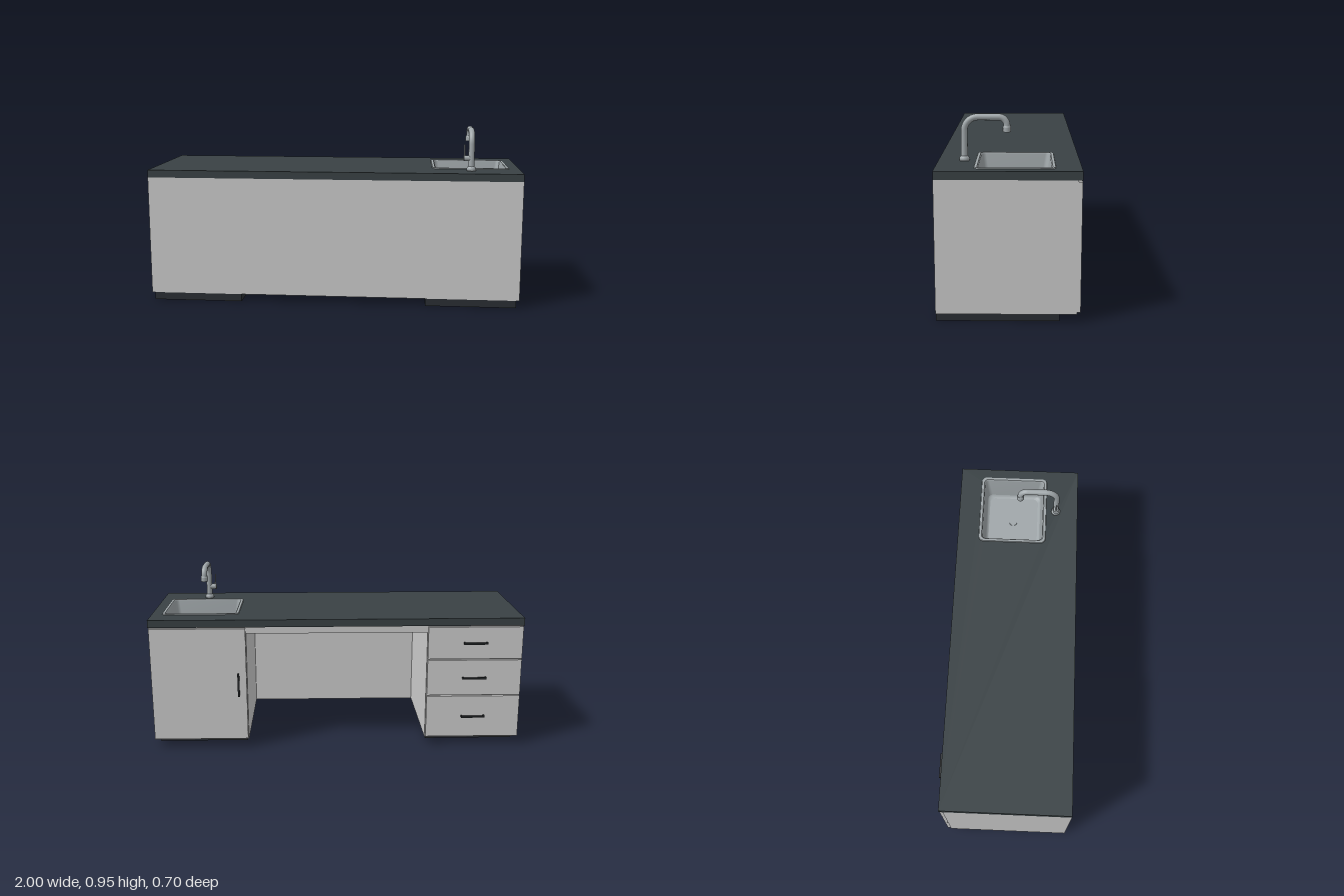
import * as THREE from 'three';

const mat = (color, side = THREE.FrontSide) => new THREE.MeshStandardMaterial({ color, side });

export function createModel() {
  const model = new THREE.Group();
  const grey = mat(0xcccccc);
  const stone = mat(0x394144);
  const plinthDark = mat(0x2a2e33);
  const black = mat(0x25282a);
  const steel = mat(0xa0a7aa, THREE.DoubleSide);

  const add = (name, geometry, material, parent = model) => {
    const mesh = new THREE.Mesh(geometry, material);
    mesh.name = name;
    parent.add(mesh);
    return mesh;
  };
  // Box given by its extents along each axis
  const box = (name, [x0, x1], [y0, y1], [z0, z1], material, parent) => {
    const mesh = add(name, new THREE.BoxGeometry(Math.abs(x1 - x0), y1 - y0, z1 - z0), material, parent);
    mesh.position.set((x0 + x1) / 2, (y0 + y1) / 2, (z0 + z1) / 2);
    return mesh;
  };
  const rod = (name, r0, r1, h, x, y, z, material, parent) => {
    const mesh = add(name, new THREE.CylinderGeometry(r0, r1, h, 24), material, parent);
    mesh.position.set(x, y, z);
    return mesh;
  };

  // Points round a rounded rectangle in the x-z plane
  const sinkX = 0.7375, sinkZ = -0.02;
  const ring = (w, d, r, n = 6) => {
    const pts = [];
    for (let c = 0; c < 4; c++) {
      const cx = (w / 2 - r) * (c === 0 || c === 3 ? 1 : -1);
      const cz = (d / 2 - r) * (c < 2 ? 1 : -1);
      for (let i = 0; i <= n; i++) {
        const a = (c + i / n) * Math.PI / 2;
        pts.push(new THREE.Vector2(sinkX + cx + r * Math.cos(a), sinkZ + cz + r * Math.sin(a)));
      }
    }
    return pts;
  };

  // Worktop with a cut-out for the sink (shape y becomes z)
  const top = new THREE.Shape([[-1, -0.33], [1, -0.33], [1, 0.35], [-1, 0.35]].map(p => new THREE.Vector2(...p)));
  top.holes.push(new THREE.Path(ring(0.395, 0.36, 0.022)));
  const worktop = add('worktop', new THREE.ExtrudeGeometry(top, { depth: 0.04, bevelEnabled: false }), stone);
  worktop.rotation.x = Math.PI / 2;
  worktop.position.y = 0.72;

  // Long panel and the rail over the knee space
  box('longPanel', [-1, 1], [0.04, 0.68], [0.332, 0.35], grey);
  box('kneeRail', [-0.485, 0.485], [0.64, 0.68], [-0.31, -0.292], grey);

  // Two cabinets, mirrored about x = 0
  for (const s of [-1, 1]) {
    const cabinet = new THREE.Group();
    cabinet.name = s < 0 ? 'drawerCabinet' : 'doorCabinet';
    model.add(cabinet);
    box('outerSide', [s * 0.982, s], [0.04, 0.68], [-0.31, 0.332], grey, cabinet);
    box('innerSide', [s * 0.485, s * 0.503], [0.04, 0.68], [-0.31, 0.332], grey, cabinet);
    box('bottom', [s * 0.503, s * 0.982], [0.04, 0.058], [-0.31, 0.332], grey, cabinet);
    box('backing', [s * 0.503, s * 0.982], [0.058, 0.68], [-0.305, -0.295], grey, cabinet);
    box('plinth', [s * 0.5, s * 0.983], [0, 0.04], [-0.23, 0.35], plinthDark, cabinet);
  }

  // Bar handle with two posts, lying along x
  const handle = (x, y, vertical) => {
    const g = new THREE.Group();
    g.name = vertical ? 'doorHandle' : 'drawerHandle';
    box('bar', [-0.064, 0.064], [-0.005, 0.005], [-0.022, -0.013], black, g);
    for (const s of [-1, 1]) box('post', [s * 0.056, s * 0.064], [-0.004, 0.004], [-0.014, 0.001], black, g);
    g.position.set(x, y, -0.328);
    if (vertical) g.rotation.z = Math.PI / 2;
    model.add(g);
  };

  // Drawer fronts and door
  for (const [y0, y1, hy] of [[0.05, 0.283, 0.17], [0.29, 0.488, 0.39], [0.495, 0.672, 0.585]]) {
    box('drawerFront', [-0.997, -0.488], [y0, y1], [-0.328, -0.31], grey);
    handle(-0.742, hy, false);
  }
  box('door', [0.488, 0.997], [0.05, 0.672], [-0.328, -0.31], grey);
  handle(0.53, 0.361, true);

  // Sink: rim, tapering walls and floor lofted through rounded rectangles
  const sink = new THREE.Group();
  sink.name = 'sink';
  model.add(sink);
  const loft = (name, sections) => {
    const pos = [], index = [];
    const loops = sections.map(([w, d, r, y]) => ring(w, d, r).map(p => [p.x, y, p.y]));
    const n = loops[0].length;
    loops.forEach(loop => loop.forEach(p => pos.push(...p)));
    for (let k = 0; k < loops.length - 1; k++) {
      for (let i = 0; i < n; i++) {
        const a = k * n + i, b = k * n + (i + 1) % n;
        index.push(a, a + n, b, b, a + n, b + n);
      }
    }
    const g = new THREE.BufferGeometry();
    g.setAttribute('position', new THREE.Float32BufferAttribute(pos, 3));
    g.setIndex(index);
    // Wind the faces so that they look up or into the bowl
    for (let i = 0; i < index.length; i += 3) [index[i + 1], index[i + 2]] = [index[i + 2], index[i + 1]];
    g.setIndex(index);
    g.computeVertexNormals();
    add(name, g, steel, sink);
  };
  loft('rimEdge', [[0.415, 0.38, 0.028, 0.72], [0.411, 0.376, 0.026, 0.725]]);
  loft('rim', [[0.411, 0.376, 0.026, 0.725], [0.385, 0.35, 0.02, 0.725]]);
  loft('bowlWalls', [[0.385, 0.35, 0.02, 0.725], [0.375, 0.34, 0.022, 0.718], [0.35, 0.315, 0.03, 0.585]]);
  loft('bowlCorner', [[0.35, 0.315, 0.03, 0.585], [0.34, 0.305, 0.03, 0.574], [0.32, 0.285, 0.03, 0.57]]);
  const floor = add('bowlFloor', new THREE.ShapeGeometry(new THREE.Shape(ring(0.32, 0.285, 0.03))), steel, sink);
  floor.rotation.x = Math.PI / 2;
  floor.position.y = 0.57;
  rod('drain', 0.022, 0.022, 0.004, sinkX, 0.572, sinkZ, steel, sink);

  // Tap: base, bent spout, nozzle and side lever
  const tap = new THREE.Group();
  tap.name = 'tap';
  model.add(tap);
  const tx = 0.735, tz = 0.224;
  const profile = [[0, 0], [0.025, 0], [0.025, 0.01], [0.022, 0.018], [0.016, 0.023]].map(p => new THREE.Vector2(...p));
  add('base', new THREE.LatheGeometry(profile, 24), steel, tap).position.set(tx, 0.72, tz);
  const v = (y, z) => new THREE.Vector3(tx, y, z);
  const path = new THREE.CurvePath();
  const k = 0.5523;
  path.add(new THREE.LineCurve3(v(0.735, tz), v(0.865, tz)));
  path.add(new THREE.CubicBezierCurve3(v(0.865, tz), v(0.865 + 0.065 * k, tz), v(0.93, tz - 0.065 * (1 - k)), v(0.93, tz - 0.065)));
  path.add(new THREE.LineCurve3(v(0.93, tz - 0.065), v(0.93, 0.06)));
  path.add(new THREE.CubicBezierCurve3(v(0.93, 0.06), v(0.93, 0.06 - 0.04 * k), v(0.89 + 0.04 * k, 0.02), v(0.89, 0.02)));
  path.add(new THREE.LineCurve3(v(0.89, 0.02), v(0.87, 0.02)));
  add('spout', new THREE.TubeGeometry(path, 80, 0.016, 20), steel, tap);
  rod('nozzle', 0.017, 0.02, 0.008, tx, 0.885, 0.02, steel, tap);
  rod('nozzleEnd', 0.02, 0.02, 0.022, tx, 0.87, 0.02, steel, tap);
  rod('leverHub', 0.015, 0.015, 0.038, tx - 0.022, 0.787, tz, steel, tap).rotation.z = Math.PI / 2;
  rod('lever', 0.004, 0.004, 0.075, tx - 0.036, 0.822, tz, steel, tap).rotation.z = 0.05;

  return model;
}
